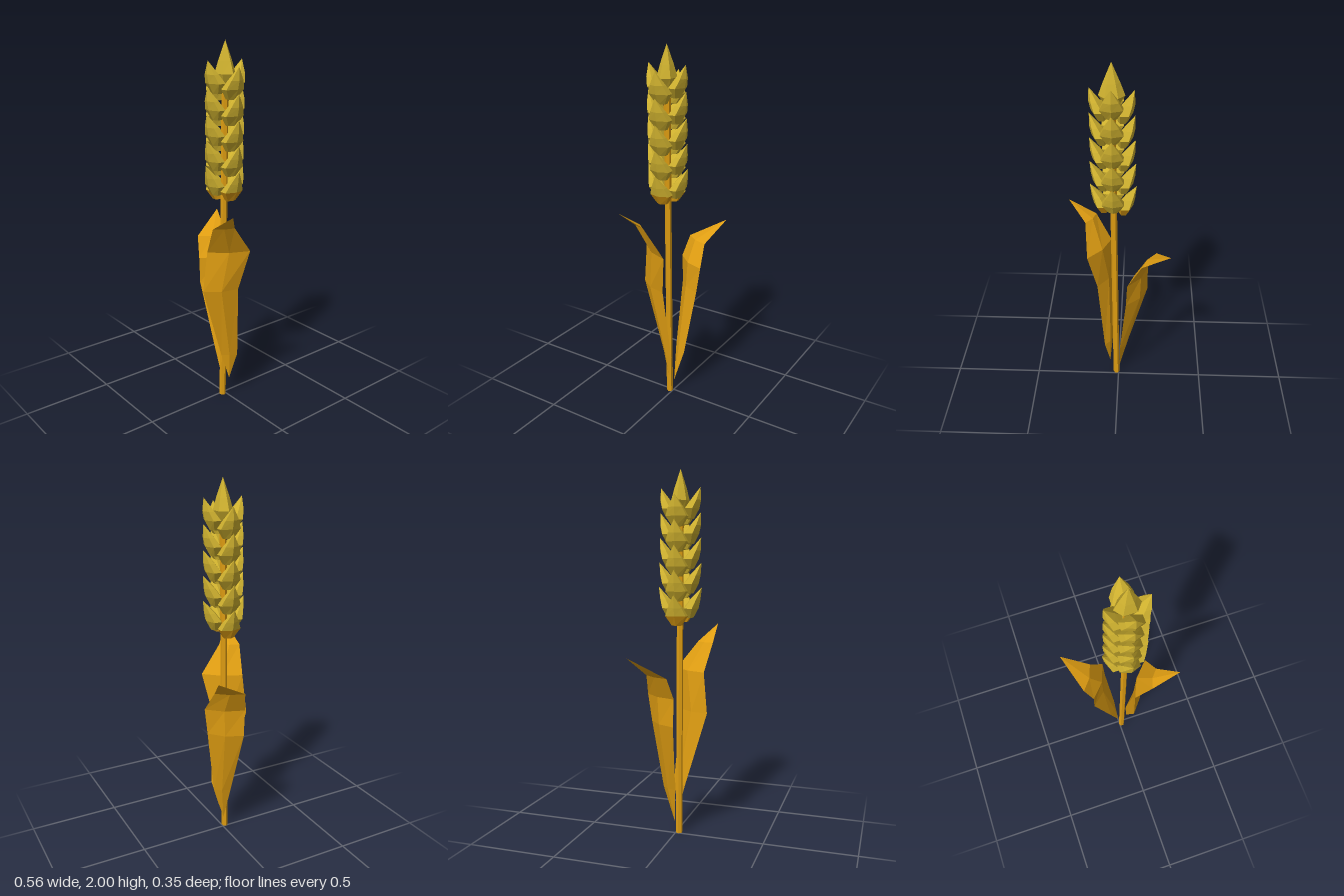
import * as THREE from 'three';

const grainMat = new THREE.MeshStandardMaterial({ color: 0xd0b22f, flatShading: true });
grainMat.name = 'grainYellow';
const strawMat = new THREE.MeshStandardMaterial({ color: 0xe09e12, flatShading: true });
strawMat.name = 'strawOrange';

// Joins cross-sections from bottom to top; a section of one point closes to a tip
function loft(rings, sides, material, name) {
  const pos = [];
  for (let i = 0; i < rings.length - 1; i++) {
    const lo = rings[i], up = rings[i + 1];
    for (let j = 0; j < sides; j++) {
      const k = (j + 1) % sides;
      const a = lo[j % lo.length], b = lo[k % lo.length];
      const c = up[j % up.length], d = up[k % up.length];
      if (lo.length > 1) pos.push(...a, ...c, ...b);
      if (up.length > 1) pos.push(...b, ...c, ...d);
    }
  }
  const geo = new THREE.BufferGeometry();
  geo.setAttribute('position', new THREE.Float32BufferAttribute(pos, 3));
  geo.computeVertexNormals();
  const mesh = new THREE.Mesh(geo, material);
  mesh.name = name;
  return mesh;
}

// Centre line of the slightly leaning stalk
const axis = (y) => [0.013 + 0.011 * y, 0.018];

// Six-sided oval section, pushed out from the stalk in direction th
function oval(y, th, out, radial, tangential) {
  const [cx, cz] = axis(y);
  const c = Math.cos(th), s = Math.sin(th), ring = [];
  for (let j = 0; j < 6; j++) {
    const a = (j * Math.PI) / 3;
    const r = out + radial * Math.cos(a), t = tangential * Math.sin(a);
    ring.push([cx + r * c - t * s, y, cz + r * s + t * c]);
  }
  return ring;
}

function tipPoint(y, th, out) {
  const [cx, cz] = axis(y);
  return [[cx + out * Math.cos(th), y, cz + out * Math.sin(th)]];
}

// One kernel: small foot, wide belly, tip leaning outward
function addGrain(group, y, th, reach, orangeFoot) {
  const foot = [tipPoint(y, th, 0.05), oval(y + 0.004, th, 0.052, 0.024, 0.03)];
  const belly = oval(y + 0.055, th, 0.062, 0.042, 0.066);
  const tip = [oval(y + 0.1, th, 0.084, 0.03, 0.044), tipPoint(y + 0.168, th, reach)];
  if (orangeFoot) {
    group.add(loft([...foot, belly], 6, strawMat, 'grainFoot'));
    group.add(loft([belly, ...tip], 6, grainMat, 'grain'));
  } else {
    group.add(loft([...foot, belly, ...tip], 6, grainMat, 'grain'));
  }
}

// Leaf from a base, pairs of edge points [y, x1, z1, x2, z2, thickness] and a tip
function makeLeaf(base, rows, tip, name) {
  const rings = rows.map(([y, x1, z1, x2, z2, t]) => {
    const dx = x1 - x2, dz = z1 - z2, l = Math.hypot(dx, dz);
    const nx = (dz / l) * t, nz = (-dx / l) * t;
    const cx = (x1 + x2) / 2, cz = (z1 + z2) / 2;
    return [[x2, y, z2], [cx + nx, y, cz + nz], [x1, y, z1], [cx - nx, y, cz - nz]];
  });
  return loft([[base], ...rings, [tip]], 4, strawMat, name);
}

export function createModel() {
  const model = new THREE.Group();
  model.name = 'wheatStalk';

  // Stalk
  const section = (y, r) => oval(y, 0, 0, r, r);
  const at = (y) => tipPoint(y, 0, 0);
  model.add(loft([at(0), section(0, 0.018), section(1.84, 0.018), at(1.84)], 6, strawMat, 'stalk'));

  // Leaves
  model.add(makeLeaf([0.05, 0.115, 0], [
    [0.27, 0.035, 0.045, 0.08, -0.035, 0.012],
    [0.69, 0.035, 0.17, 0.12, -0.005, 0.022],
    [0.915, 0.045, 0.148, 0.17, -0.045, 0.02],
    [1.07, 0.13, 0.175, 0.185, 0.075, 0.012],
  ], [0.28, 1.165, 0.165], 'leftLeaf'));
  model.add(makeLeaf([-0.005, 0.065, 0], [
    [0.27, -0.058, 0.018, -0.01, -0.065, 0.012],
    [0.65, -0.165, 0.04, -0.045, -0.12, 0.022],
    [0.8, -0.165, 0.045, -0.052, -0.14, 0.022],
    [0.915, -0.21, 0.02, -0.13, -0.12, 0.014],
  ], [-0.28, 1.025, -0.175], 'rightLeaf'));

  // Ear: five tiers of four grains, front and back ones set higher
  const ear = new THREE.Group();
  ear.name = 'ear';
  for (let tier = 0; tier < 5; tier++) {
    for (let q = 0; q < 4; q++) {
      const sideways = q % 2 === 0;
      const y = (sideways ? 1.172 : 1.212) + tier * 0.131 + (q === 0 ? 0.012 : 0);
      addGrain(ear, y, (q * Math.PI) / 2, 0.122 - tier * 0.003, sideways && tier === 0);
    }
  }

  // Crowning grain
  ear.add(loft([
    at(1.775), oval(1.78, 0, 0, 0.03, 0.025), oval(1.835, 0, 0, 0.066, 0.048),
    oval(1.9, 0, 0, 0.042, 0.032), at(2),
  ], 6, grainMat, 'topGrain'));
  model.add(ear);
  return model;
}
